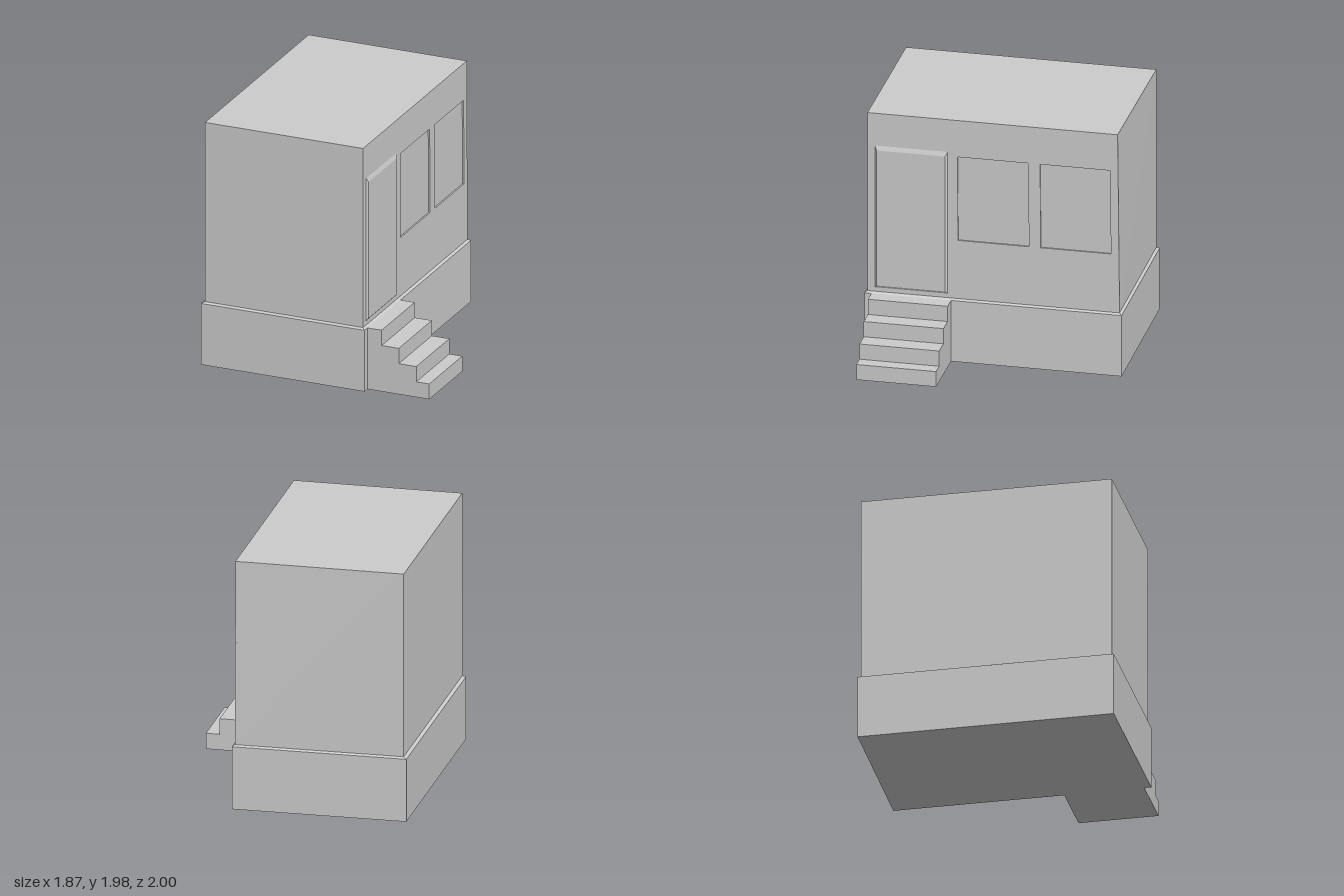
import * as THREE from 'three';

const material = new THREE.MeshStandardMaterial({ color: 0xcccccc, flatShading: true });

// Body and base limits
const BODY = { left: -0.91, right: 0.4, front: 0.98, back: -0.965, bottom: 0.512, top: 1.975 };
const BASE = { left: -0.935, right: 0.42, front: 1, top: 0.5 };
const RECESS = 0.012;

// The back runs slightly out of square towards the right side
const sideShare = (x) => (x - BODY.left) / (BODY.right - BODY.left);
const bodyBack = (x, y) =>
  BODY.back - 0.015 * sideShare(x) * (BODY.top - y) / (BODY.top - BODY.bottom);
const baseBack = (x) => -0.986 - 0.014 * sideShare(x);

function addMesh(group, name, geometry) {
  const mesh = new THREE.Mesh(geometry, material);
  mesh.name = name;
  group.add(mesh);
  return mesh;
}

// Box whose corners (sx, sy, sz = -1 or 1) are placed by a rule
function block(corner) {
  const geometry = new THREE.BoxGeometry(2, 2, 2);
  const p = geometry.attributes.position;
  for (let i = 0; i < p.count; i++) {
    p.setXYZ(i, ...corner(p.getX(i), p.getY(i), p.getZ(i)));
  }
  geometry.computeVertexNormals();
  return geometry;
}

const pick = (s, low, high) => (s < 0 ? low : high);
const outline = (points) => points.map(([x, y]) => new THREE.Vector2(x, y));

// Wall slab with window openings, drawn as (-z, y) and extruded along x
function windowWall() {
  const b = BODY;
  const shape = new THREE.Shape(outline([
    [-b.front, b.bottom],
    [-bodyBack(b.right, b.bottom), b.bottom],
    [-bodyBack(b.right, b.top), b.top],
    [-b.front, b.top],
  ]));
  for (const [zFront, zBack] of [[0.28, -0.268], [-0.362, -0.905]]) {
    shape.holes.push(new THREE.Path(outline([
      [-zFront + 0.004, 0.99],
      [-zFront, 1.675],
      [-zBack, 1.675],
      [-zBack + 0.008, 0.99],
    ])));
  }
  const geometry = new THREE.ExtrudeGeometry(shape, { depth: RECESS, bevelEnabled: false });
  geometry.rotateY(Math.PI / 2);
  geometry.translate(b.right - RECESS, 0, 0);
  return geometry;
}

// Four treads in one stepped profile
function stairs() {
  const points = [[BASE.right, 0], [0.932, 0]];
  [0.932, 0.825, 0.68, 0.538].forEach((x, i, xs) => {
    points.push([x, (i + 1) * 0.125]);
    points.push([xs[i + 1] ?? BASE.right, (i + 1) * 0.125]);
  });
  const geometry = new THREE.ExtrudeGeometry(new THREE.Shape(outline(points)), {
    depth: 0.62,
    bevelEnabled: false,
  });
  geometry.translate(0, 0, 0.325);
  return geometry;
}

export function createModel() {
  const model = new THREE.Group();
  model.name = 'smallBuilding';

  // Plinth
  addMesh(model, 'base', block((sx, sy, sz) => {
    const x = pick(sx, BASE.left, BASE.right);
    return [x, pick(sy, 0, BASE.top), pick(sz, baseBack(x), BASE.front)];
  }));

  // Sloping ledge between plinth and body
  addMesh(model, 'baseLedge', block((sx, sy, sz) => {
    const lower = sy < 0;
    const limits = lower ? BASE : BODY;
    const x = pick(sx, limits.left, limits.right);
    const back = lower ? baseBack(x) : bodyBack(x, BODY.bottom);
    return [x, lower ? BASE.top : BODY.bottom, pick(sz, back, limits.front)];
  }));

  // Solid body behind the window wall
  addMesh(model, 'body', block((sx, sy, sz) => {
    const x = pick(sx, BODY.left, BODY.right - RECESS);
    const y = pick(sy, BODY.bottom, BODY.top);
    return [x, y, pick(sz, bodyBack(x, y), BODY.front)];
  }));
  addMesh(model, 'windowWall', windowWall());

  // Raised door with bevelled edges
  addMesh(model, 'door', block((sx, sy, sz) => (sx < 0
    ? [BODY.right, pick(sy, 0.545, 1.71), pick(sz, 0.358, 0.922)]
    : [BODY.right + 0.012, pick(sy, 0.565, 1.675), pick(sz, 0.374, 0.906)])));

  addMesh(model, 'stairs', stairs());
  return model;
}
